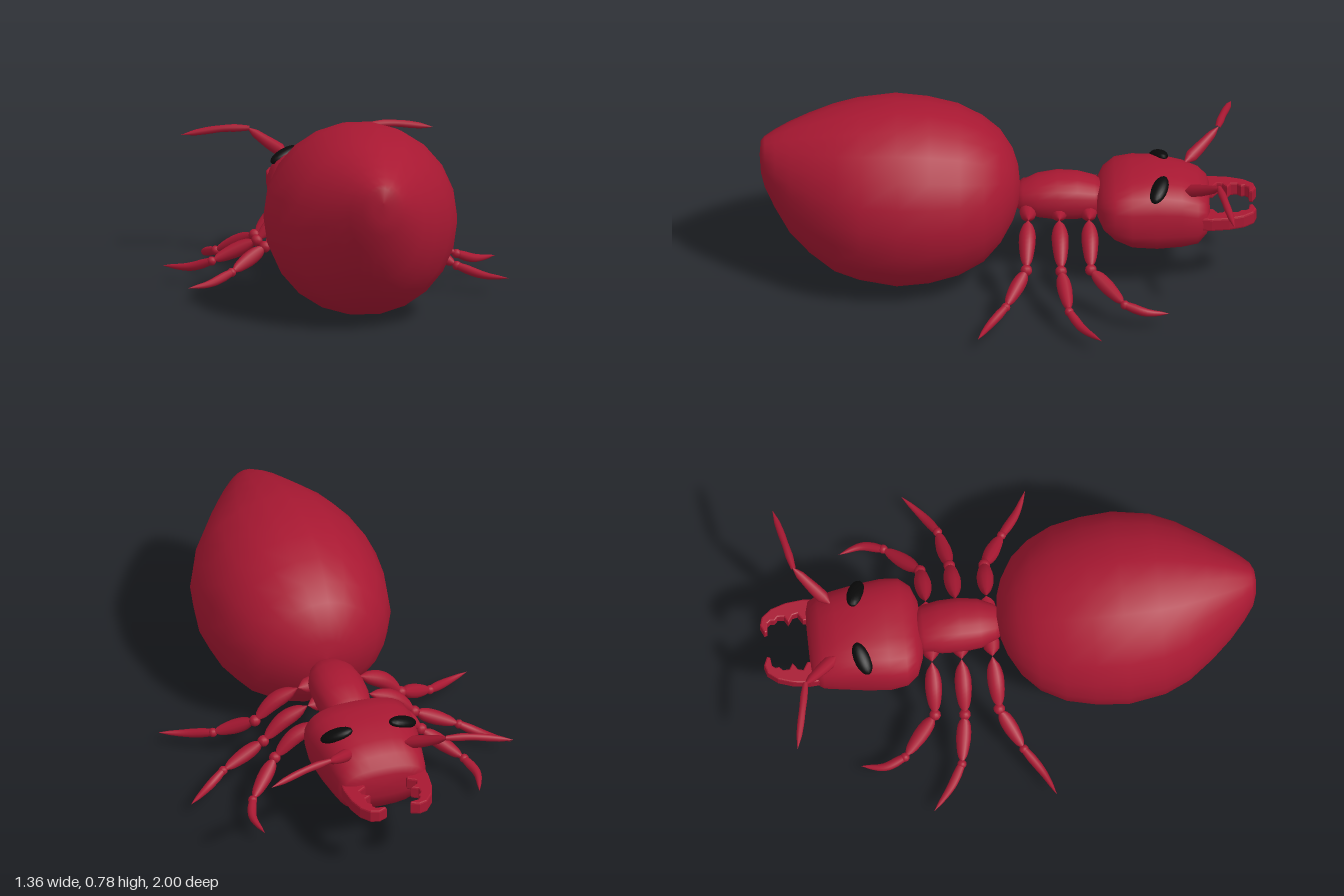
import * as THREE from 'three';

const shell = new THREE.MeshStandardMaterial({ color: 0xa81832 });
const black = new THREE.MeshStandardMaterial({ color: 0x0a0a0a });

function part(name, geometry, material = shell) {
  const mesh = new THREE.Mesh(geometry, material);
  mesh.name = name;
  return mesh;
}

// Closed body from rings [z, top y, bottom y, half width], z increasing.
function loft(rings, sides, power = 2) {
  const pos = [], index = [];
  const soft = (v) => Math.sign(v) * Math.abs(v) ** (2 / power);
  rings.forEach(([z, top, bottom, w], i) => {
    for (let j = 0; j < sides; j++) {
      const t = (j / sides) * Math.PI * 2;
      pos.push(w * soft(Math.cos(t)), (top + bottom) / 2 + ((top - bottom) / 2) * soft(Math.sin(t)), z);
      if (i === rings.length - 1) continue;
      const a = i * sides + j, b = i * sides + ((j + 1) % sides);
      index.push(a, b, a + sides, b, b + sides, a + sides);
    }
  });
  const g = new THREE.BufferGeometry();
  g.setAttribute('position', new THREE.Float32BufferAttribute(pos, 3));
  g.setIndex(index);
  g.computeVertexNormals();
  return g;
}

// Tube along points whose radius follows an evenly spaced list.
function limb(points, radii, segments = 14, sides = 10) {
  const curve = new THREE.CatmullRomCurve3(points.map((p) => new THREE.Vector3(...p)));
  const g = new THREE.TubeGeometry(curve, segments, 1, sides);
  const pos = g.attributes.position, v = new THREE.Vector3();
  for (let i = 0; i <= segments; i++) {
    const centre = curve.getPointAt(i / segments);
    const f = (i / segments) * (radii.length - 1);
    const k = Math.min(Math.floor(f), radii.length - 2);
    const r = THREE.MathUtils.lerp(radii[k], radii[k + 1], f - k);
    for (let j = 0; j <= sides; j++) {
      const n = i * (sides + 1) + j;
      v.fromBufferAttribute(pos, n).sub(centre).multiplyScalar(r).add(centre);
      pos.setXYZ(n, v.x, v.y, v.z);
    }
  }
  return g;
}

function ball(name, p, r) {
  const mesh = part(name, new THREE.SphereGeometry(r, 10, 8));
  mesh.position.set(...p);
  return mesh;
}

// Leg: hip, knee, ankle and tip, mirrored by s.
function leg(name, s, hip, knee, ankle, bend, tip) {
  const g = new THREE.Group();
  g.name = name;
  const [h, k, a, b, t] = [hip, knee, ankle, bend, tip].map(([x, y, z]) => [x * s, y, z]);
  const mid = h.map((v, i) => v * 0.45 + k[i] * 0.55);
  mid[1] += 0.025;
  g.add(part('coxa', limb([[0.05 * s, 0.33, h[2]], h], [0.03, 0.035, 0.03, 0], 8)));
  g.add(part('femur', limb([h, mid, k], [0, 0.026, 0.034, 0.034, 0.03, 0.023, 0])));
  g.add(ball('kneeJoint', k, 0.024));
  g.add(part('tibia', limb([k, a], [0, 0.025, 0.03, 0.03, 0.026, 0.02, 0])));
  g.add(ball('ankleJoint', a, 0.019));
  g.add(part('foot', limb([a, b, t], [0.015, 0.019, 0.018, 0.014, 0.009, 0])));
  return g;
}

function mandible(s) {
  const outline = [
    [0.175, 0.76], [0.18, 0.82], [0.172, 0.89], [0.152, 0.95], [0.12, 0.99], [0.085, 1], [0.05, 0.985],
    [0.055, 0.972], [0.09, 0.968], [0.1, 0.955], [0.098, 0.94], [0.113, 0.925], [0.112, 0.9], [0.086, 0.885],
    [0.115, 0.865], [0.12, 0.845], [0.088, 0.825], [0.09, 0.76],
  ].map(([x, z]) => new THREE.Vector2(x * s, z));
  const g = new THREE.ExtrudeGeometry(new THREE.Shape(outline), {
    depth: 0.04, bevelThickness: 0.008, bevelSize: 0.006, bevelOffset: -0.006, bevelSegments: 2,
  });
  g.rotateX(-Math.PI / 2).translate(0, 0.297, 0);
  return part('mandible', g);
}

export function createModel() {
  const ant = new THREE.Group();
  ant.name = 'ant';

  ant.add(part('abdomen', loft([
    [-0.05, 0.41, 0.41, 0], [-0.042, 0.49, 0.34, 0.09], [-0.02, 0.56, 0.27, 0.155],
    [0.03, 0.635, 0.18, 0.24], [0.1, 0.69, 0.1, 0.305], [0.2, 0.74, 0.045, 0.355],
    [0.32, 0.77, 0.012, 0.38], [0.45, 0.785, 0, 0.39], [0.6, 0.77, 0.027, 0.365],
    [0.7, 0.75, 0.06, 0.32], [0.8, 0.72, 0.135, 0.25], [0.88, 0.69, 0.22, 0.185],
    [0.94, 0.66, 0.33, 0.13], [0.98, 0.635, 0.42, 0.085], [0.995, 0.62, 0.48, 0.045], [1, 0.56, 0.56, 0],
  ], 22)));

  ant.add(part('thorax', loft([
    [-0.39, 0.36, 0.36, 0], [-0.385, 0.41, 0.31, 0.07], [-0.35, 0.435, 0.285, 0.095],
    [-0.28, 0.455, 0.272, 0.107], [-0.2, 0.46, 0.27, 0.11], [-0.12, 0.447, 0.28, 0.1],
    [-0.06, 0.42, 0.3, 0.075], [-0.03, 0.4, 0.32, 0.05], [-0.02, 0.36, 0.36, 0],
  ], 20, 2.2)));

  ant.add(part('head', loft([
    [-0.813, 0.32, 0.32, 0], [-0.812, 0.37, 0.27, 0.13], [-0.8, 0.4, 0.235, 0.17],
    [-0.765, 0.44, 0.185, 0.188], [-0.7, 0.47, 0.17, 0.198], [-0.6, 0.492, 0.165, 0.214],
    [-0.5, 0.49, 0.178, 0.226], [-0.43, 0.475, 0.215, 0.22], [-0.385, 0.44, 0.255, 0.185],
    [-0.36, 0.405, 0.3, 0.12], [-0.352, 0.36, 0.36, 0],
  ], 28, 2.6)));

  for (const s of [1, -1]) {
    const side = new THREE.Group();
    side.name = s > 0 ? 'leftSide' : 'rightSide';

    // Eye lying flush on the upper head
    const eye = part('eye', new THREE.SphereGeometry(1, 18, 12), black);
    eye.scale.set(0.07, 0.025, 0.034);
    eye.position.set(0.14 * s, 0.461, -0.608);
    eye.rotation.set(0, -0.35 * s, -0.4 * s, 'YXZ');
    side.add(eye, mandible(s));

    // Elbowed antenna
    const antenna = new THREE.Group();
    antenna.name = 'antenna';
    antenna.add(
      part('antennaBase', limb([[0.11 * s, 0.44, -0.71], [0.18 * s, 0.48, -0.78], [0.255 * s, 0.53, -0.855]],
        [0, 0.026, 0.025, 0.021, 0.017, 0])),
      part('antennaTip', limb([[0.245 * s, 0.528, -0.848], [0.35 * s, 0.525, -0.87], [0.515 * s, 0.497, -0.907]],
        [0.01, 0.016, 0.014, 0.015, 0.012, 0])),
    );
    side.add(antenna);

    side.add(
      leg('frontLeg', s, [0.13, 0.32, -0.325], [0.31, 0.19, -0.33], [0.448, 0.105, -0.465], [0.475, 0.085, -0.55], [0.455, 0.067, -0.645]),
      leg('middleLeg', s, [0.13, 0.32, -0.205], [0.32, 0.19, -0.21], [0.5, 0.105, -0.24], [0.58, 0.075, -0.29], [0.678, 0.068, -0.37]),
      leg('rearLeg', s, [0.13, 0.32, -0.08], [0.31, 0.19, -0.07], [0.46, 0.105, 0.015], [0.56, 0.075, 0.085], [0.655, 0.068, 0.13]),
    );
    ant.add(side);
  }
  return ant;
}
